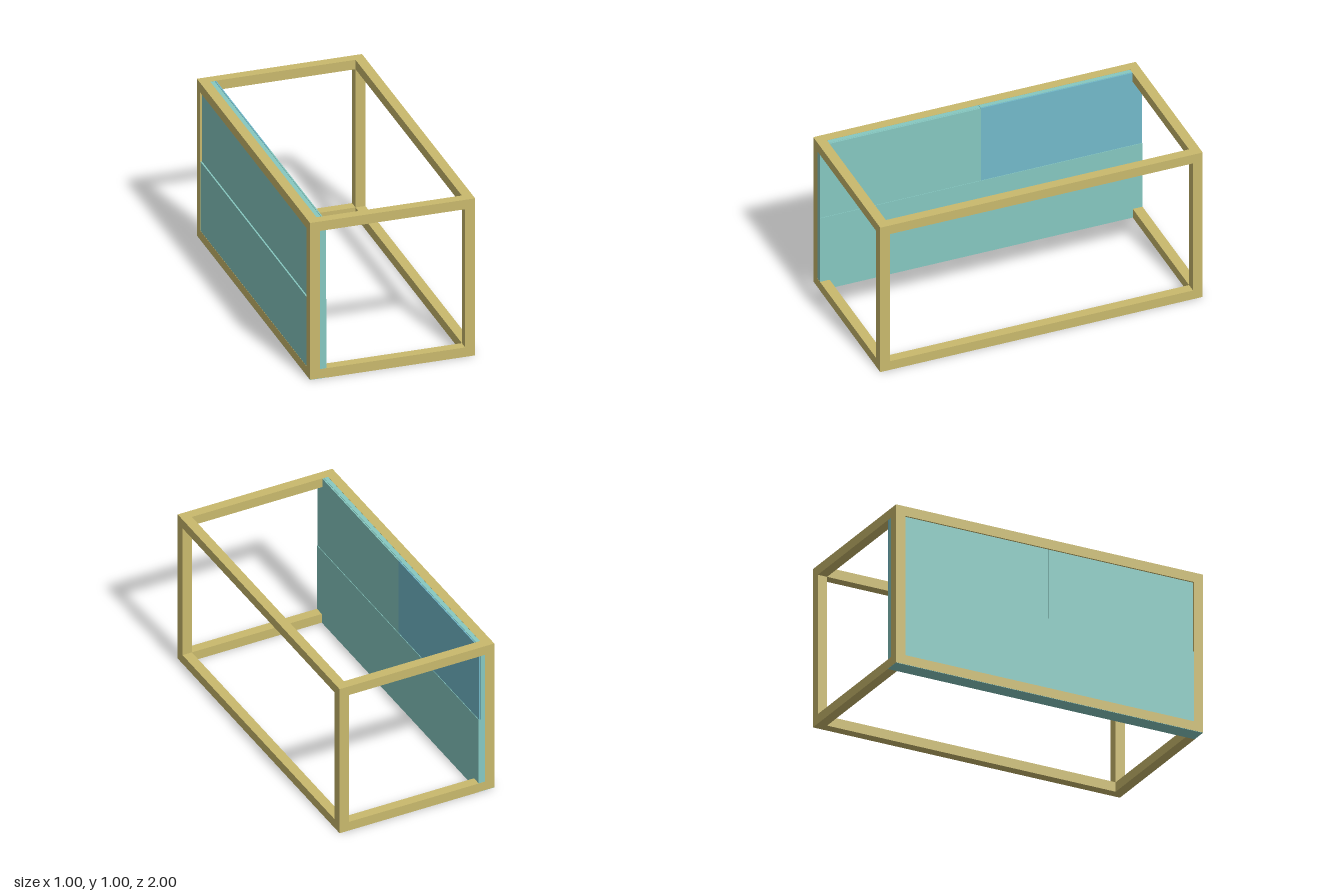
import * as THREE from 'three';

export function createModel() {
  const group = new THREE.Group();
  const wood = new THREE.MeshStandardMaterial({ color: 0xc9b96d });
  wood.name = 'ochre frame';
  const teal = new THREE.MeshStandardMaterial({ color: 0x86c8c1 });
  teal.name = 'teal panel';
  const blue = new THREE.MeshStandardMaterial({ color: 0x72b9ca });
  blue.name = 'blue panel';

  // Box given by its minimum and maximum corners
  const box = (name, material, [x0, y0, z0], [x1, y1, z1]) => {
    const mesh = new THREE.Mesh(new THREE.BoxGeometry(x1 - x0, y1 - y0, z1 - z0), material);
    mesh.position.set((x0 + x1) / 2, (y0 + y1) / 2, (z0 + z1) / 2);
    mesh.name = name;
    group.add(mesh);
  };

  const T = 0.06; // bar thickness
  const e = 0.001; // keeps panel faces clear of the frame faces

  // Open frame: posts, long rails and cross rails
  for (const x of [-0.5, 0.5 - T]) {
    for (const z of [-1, 1 - T]) box('post', wood, [x, T, z], [x + T, 1 - T, z + T]);
    for (const y of [0, 1 - T]) {
      const base = y === 0 && x < 0 ? 2 * e : y;
      box('longRail', wood, [x, base, -1], [x + T, y + T, 1]);
    }
  }
  for (const z of [-1, 1 - T]) {
    for (const y of [0, 1 - T]) {
      const start = y === 0 ? -0.4 : -0.5 + T;
      box('crossRail', wood, [start, y, z], [0.5 - T, y + T, z + T]);
      // Short end of the lower rail, lifted off the panel's underside
      if (y === 0) box('crossRailEnd', wood, [-0.5 + T, 2 * e, z], [-0.4, T, z + T]);
    }
  }

  // Lower wall, full length
  box('lowerWall', teal, [-0.5 + e, 0, -1 + e], [-0.4, 0.5, 1 - e]);

  // Upper wall: outer leaves and thin inner leaves, split at the middle
  for (const [z0, z1, inner] of [[-1 + e, -e, blue], [e, 1 - e, teal]]) {
    box('upperOuterLeaf', teal, [-0.49, 0.5, z0], [-0.413, 1 - e, z1]);
    box('upperInnerLeaf', inner, [-0.411, 0.5, z0], [-0.403, 1 - e, z1]);
  }

  return group;
}
